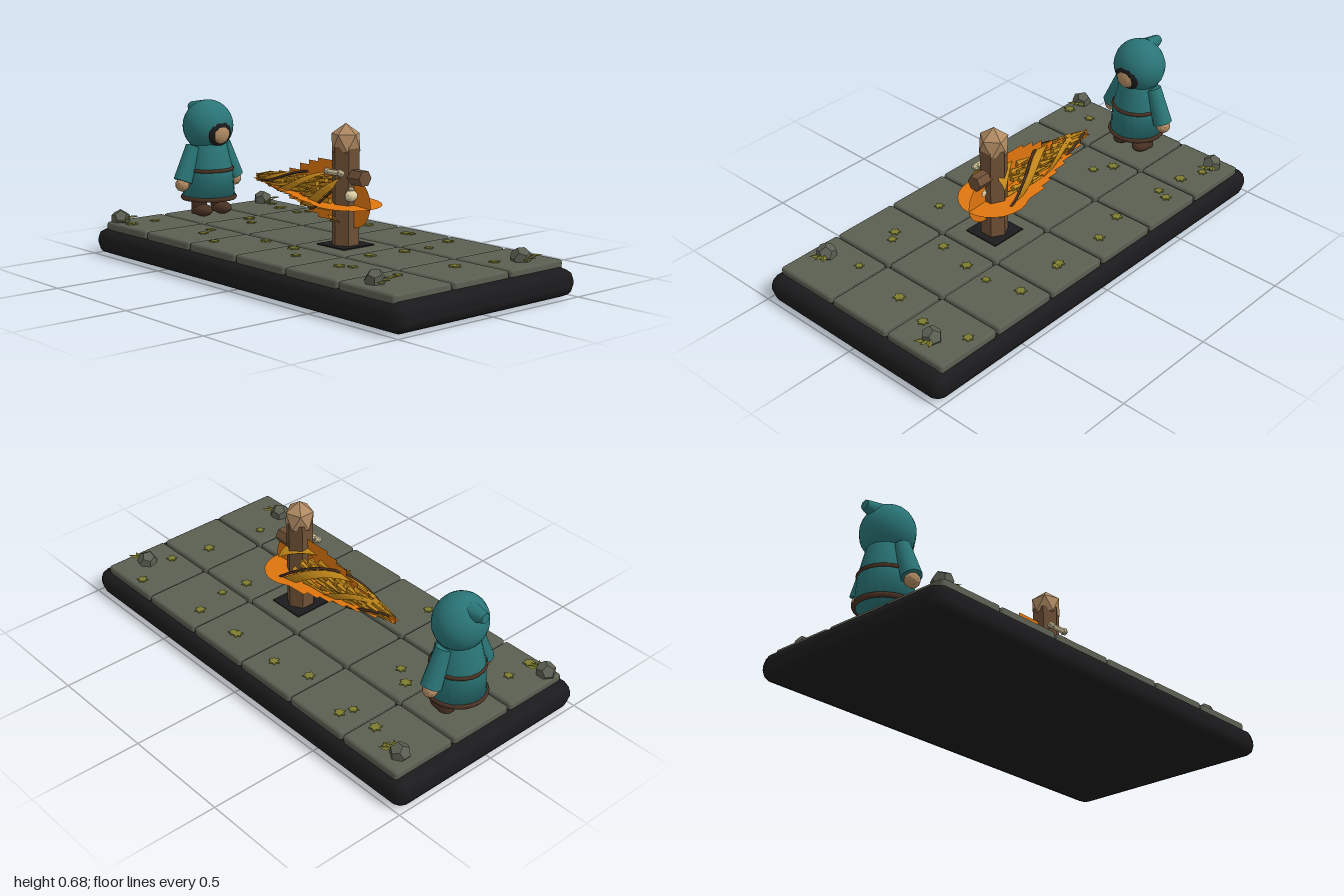
import * as THREE from 'three';
import { RoundedBoxGeometry } from 'three/addons/geometries/RoundedBoxGeometry.js';
import { ParametricGeometry } from 'three/addons/geometries/ParametricGeometry.js';

const mat = (name, color, extra = {}) => {
  const m = new THREE.MeshStandardMaterial({ color, ...extra });
  m.name = name;
  return m;
};

export function createModel() {
  const model = new THREE.Group();
  model.name = 'diorama';
  const flat = { flatShading: true };
  const black = mat('black', 0x1b1b1d);
  const stone = mat('stone', 0x5b5f52);
  const moss = mat('moss', 0x7d7c30, flat);
  const teal = mat('teal cloth', 0x2a7577);
  const wood = mat('wood', 0x6e5036, flat);
  const tan = mat('tan', 0xb08a62, flat);
  const bone = mat('bone', 0xddcfa6, flat);
  const orange = mat('flame orange', 0xe0760f, { side: THREE.DoubleSide });
  const gold = mat('flame gold', 0xbd8418, { side: THREE.DoubleSide, flatShading: true });
  const dark = mat('dark brown', 0x4a3224);

  const add = (parent, name, geometry, material, x = 0, y = 0, z = 0) => {
    const mesh = new THREE.Mesh(geometry, material);
    mesh.name = name;
    mesh.position.set(x, y, z);
    parent.add(mesh);
    return mesh;
  };
  const group = (name) => {
    const g = new THREE.Group();
    g.name = name;
    model.add(g);
    return g;
  };
  // Tapered limb between two points
  const limb = (parent, name, a, b, ra, rb, sides, material) => {
    const A = new THREE.Vector3(...a), B = new THREE.Vector3(...b), d = B.clone().sub(A);
    const mesh = add(parent, name, new THREE.CylinderGeometry(rb, ra, d.length(), sides), material);
    mesh.position.copy(A).add(B).multiplyScalar(0.5);
    mesh.quaternion.setFromUnitVectors(new THREE.Vector3(0, 1, 0), d.normalize());
    return mesh;
  };
  let seed = 7;
  const rand = () => (seed = (seed * 16807) % 2147483647) / 2147483647;

  // Plinth and paving
  const floor = group('floor');
  add(floor, 'plinth', new RoundedBoxGeometry(2, 0.12, 1, 1, 0.05), black, 0, 0.06, 0);
  const tileGeo = new RoundedBoxGeometry(0.307, 0.04, 0.305, 1, 0.012);
  for (let i = 0; i < 6; i++)
    for (let j = -1; j <= 1; j++)
      add(floor, 'tile', tileGeo, stone, (i - 2.5) * 0.316, 0.13, j * 0.316);
  add(floor, 'socket', new THREE.BoxGeometry(0.17, 0.006, 0.17), black, 0.157, 0.152, 0);

  // Moss tufts: small ragged stars
  const star = new THREE.Shape();
  for (let i = 0; i < 12; i++) {
    const a = (i / 12) * Math.PI * 2, r = i % 2 ? 0.016 : 0.026;
    star[i ? 'lineTo' : 'moveTo'](r * Math.cos(a), r * Math.sin(a));
  }
  const starGeo = new THREE.ExtrudeGeometry(star, { depth: 0.007, bevelEnabled: false }).rotateX(-Math.PI / 2);
  const spots = [[-0.69, -0.34], [-0.55, -0.33], [-0.53, -0.385], [-0.27, -0.32], [-0.1, -0.365], [0.15, -0.36],
    [0.17, -0.365], [0.395, -0.37], [0.435, -0.215], [0.8, -0.22], [0.755, -0.04], [0.75, -0.42], [0.42, -0.09],
    [0.39, 0.075], [-0.565, -0.055], [-0.485, -0.005], [-0.47, 0.235], [-0.43, 0.305], [-0.26, 0.375],
    [-0.12, 0.205], [0.075, 0.215], [0.19, 0.3], [0.455, 0.3], [0.5, 0.27], [0.72, 0.235], [-0.81, 0.295],
    [-0.81, 0.42], [-0.8, -0.38]];
  spots.forEach(([x, z]) => {
    const m = add(floor, 'moss', starGeo, moss, x, 0.149, z);
    m.rotation.y = rand() * 6;
    m.scale.setScalar(0.8 + rand() * 0.3);
  });

  // Corner rocks with a leafy sprig
  const rockGeo = new THREE.DodecahedronGeometry(0.045).toNonIndexed();
  rockGeo.computeVertexNormals();
  const leafGeo = new THREE.OctahedronGeometry(0.03).scale(1, 0.18, 0.45);
  [[-0.87, -0.38], [0.85, -0.32], [-0.9, 0.42], [0.76, 0.39]].forEach(([x, z], i) => {
    add(floor, 'rock', rockGeo, stone, x, 0.162, z).rotation.y = i * 1.3;
    for (let k = 0; k < 3; k++) {
      const leaf = add(floor, 'leaf', leafGeo, moss, x + 0.045, 0.175 - k * 0.007, z - 0.035 + k * 0.025);
      leaf.rotation.set(0, 0.7 - k * 0.7, 0.1);
    }
  });

  // Wooden post with a peg and charms
  const post = group('post');
  add(post, 'postShaft', new THREE.CylinderGeometry(0.06, 0.06, 0.43, 6), wood, 0.157, 0.355, 0);
  const cap = add(post, 'postCap', new THREE.IcosahedronGeometry(0.08).rotateZ(-Math.atan(0.618)), tan, 0.157, 0.585, 0);
  cap.scale.set(0.86, 1, 0.86);
  limb(post, 'peg', [0.13, 0.445, 0], [0.277, 0.445, 0], 0.035, 0.035, 6, wood);
  limb(post, 'boneCharm', [0.115, 0.465, 0.066], [0.2, 0.465, 0.066], 0.012, 0.012, 6, bone);
  for (const x of [0.115, 0.2])
    add(post, 'boneKnob', new THREE.IcosahedronGeometry(0.018), bone, x, 0.465, 0.066);
  add(post, 'skullCharm', new THREE.IcosahedronGeometry(0.03, 1).scale(0.8, 0.85, 1), bone, 0.215, 0.368, 0.022);
  add(post, 'skullKnob', new THREE.IcosahedronGeometry(0.014), bone, 0.215, 0.395, 0.022);

  // Crossed flame sheets with stepped tails
  const flame = group('flame');
  const columns = [[-0.02, 0.5, 0.245, 0.13], [-0.08, 0.485, 0.26, 0.11], [-0.14, 0.465, 0.28, 0.095],
    [-0.21, 0.435, 0.3, 0.078], [-0.28, 0.415, 0.32, 0.06], [-0.36, 0.4, 0.335, 0.04], [-0.44, 0.385, 0.35, 0.018]];
  const sheet = (head, top, bottom) => {
    const s = new THREE.Shape();
    head.forEach(([x, y], i) => s[i ? 'lineTo' : 'moveTo'](x, y));
    columns.forEach((c, i) => { s.lineTo(i ? columns[i - 1][0] : 0.08, bottom(c)); s.lineTo(c[0], bottom(c)); });
    [...columns].reverse().forEach((c, i) => {
      const k = columns.length - 1 - i;
      s.lineTo(c[0], top(c));
      s.lineTo(k ? columns[k - 1][0] : 0.08, top(c));
    });
    return new THREE.ShapeGeometry(s);
  };
  const arc = (cx, cy, r, from, to) => Array.from({ length: 17 }, (_, i) => {
    const a = from + (to - from) * i / 16;
    return [cx + r * Math.cos(a), cy + r * Math.sin(a)];
  });
  add(flame, 'uprightSheet', sheet([[0.12, 0.5], ...arc(0.205, 0.335, 0.105, 1.3, -1.6), [0.1, 0.236]],
    (c) => c[1], (c) => c[2]), orange);
  const level = add(flame, 'levelSheet', sheet(arc(0.16, 0, 0.152, 2.1, -2.1),
    (c) => c[3], (c) => -c[3]).rotateX(-Math.PI / 2), orange, 0, 0.338, 0);
  level.rotation.z = -0.06;

  // Flame body: shards swept back along a tapering spindle
  const axisY = (x) => 0.358 - 0.04 * x;
  const spread = (x) => 0.012 + 0.068 * Math.min(1, (x + 0.44) / 0.46);
  const shardGeo = new THREE.ConeGeometry(0.014, 0.11, 4).rotateZ(Math.PI / 2);
  for (let i = 0; i < 120; i++) {
    const x = -0.39 + 0.48 * (i / 119), a = i * 2.4, r = spread(x) * (0.6 + 0.4 * rand());
    const shard = add(flame, 'shard', shardGeo, gold, x, axisY(x) + r * 0.85 * Math.cos(a), r * Math.sin(a));
    shard.rotation.set(a, 0.12 * Math.sin(a), 0.12 * Math.cos(a));
  }
  // Curling ribbons and thin dark strands
  const curl = (t, phase, out) => {
    const x = 0.19 - 0.6 * t, a = phase + t * 4.2, r = 0.012 + 0.1 * Math.pow(1 - t, 0.8);
    return out.set(x, axisY(x) + r * Math.cos(a), r * Math.sin(a));
  };
  for (let k = 0; k < 4; k++) {
    const phase = k * Math.PI / 2 + 0.8;
    add(flame, 'ribbon', new ParametricGeometry((u, v, p) =>
      curl(u, phase + (v - 0.5) * 0.5, p), 20, 2), gold);
    if (k % 2) continue;
    const pts = Array.from({ length: 16 }, (_, i) => curl(i / 15, phase + 0.36, new THREE.Vector3()));
    add(flame, 'strand', new THREE.TubeGeometry(new THREE.CatmullRomCurve3(pts), 30, 0.006, 5), dark);
  }

  // Hooded figure looking along +x
  const figure = group('hoodedFigure');
  figure.position.set(-0.795, 0, 0);
  const robe = [[0.001, 0.225], [0.122, 0.225], [0.112, 0.365], [0.085, 0.48], [0.06, 0.53]]
    .map(([r, y]) => new THREE.Vector2(r, y));
  add(figure, 'robe', new THREE.LatheGeometry(robe, 20), teal);
  const ring = (name, r, tube, y) =>
    add(figure, name, new THREE.TorusGeometry(r, tube, 6, 24).rotateX(Math.PI / 2), dark, 0, y, 0);
  ring('hem', 0.12, 0.011, 0.233);
  ring('belt', 0.11, 0.009, 0.365);
  add(figure, 'hood', new THREE.SphereGeometry(0.12, 20, 14).scale(0.92, 1, 1), teal, 0, 0.563, 0);
  limb(figure, 'hoodTip', [-0.05, 0.635, 0], [-0.128, 0.642, 0], 0.042, 0.022, 8, teal);
  add(figure, 'hoodOpening', new THREE.SphereGeometry(0.07, 16, 12).scale(0.6, 1, 1), black, 0.073, 0.545, 0);
  add(figure, 'face', new THREE.SphereGeometry(0.045, 12, 10).scale(0.55, 1, 1), tan, 0.096, 0.533, 0);
  for (const s of [1, -1]) {
    limb(figure, 'sleeve', [0, 0.475, s * 0.085], [0, 0.318, s * 0.147], 0.035, 0.044, 12, teal);
    add(figure, 'hand', new THREE.IcosahedronGeometry(0.033, 1), tan, 0, 0.303, s * 0.15);
    add(figure, 'leg', new THREE.CylinderGeometry(0.036, 0.036, 0.08, 10), dark, 0, 0.2, s * 0.055);
    add(figure, 'boot', new THREE.SphereGeometry(0.045, 12, 8).scale(1.25, 0.65, 0.9), dark, 0.025, 0.178, s * 0.055);
  }
  return model;
}
